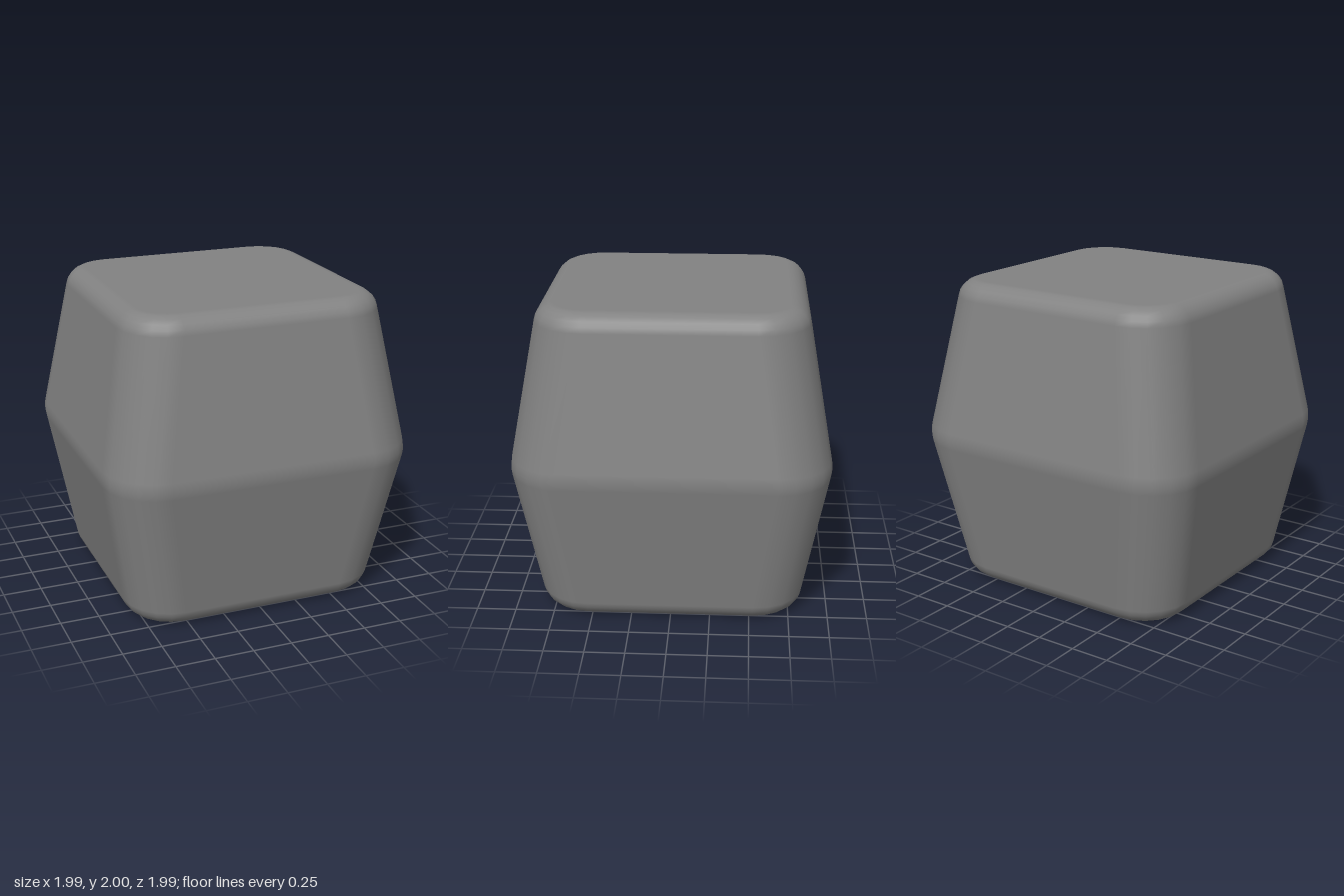
import * as THREE from 'three';
import { toCreasedNormals } from 'three/addons/utils/BufferGeometryUtils.js';

const TILT = 0.175;         // slope of the side walls
const CORNER_STEPS = 5;
const HOLE_RADIUS = 0.42;
const HOLE_DEPTH = 1.0;

// Rounded square outline: points with the outward angle at each one
function outline(half, straight) {
  const r = half - straight, pts = [];
  for (let q = 0; q < 4; q++) {
    const cx = (q === 0 || q === 3 ? 1 : -1) * straight;
    const cz = (q < 2 ? 1 : -1) * straight;
    for (let k = 0; k <= CORNER_STEPS; k++) {
      const a = (q + k / CORNER_STEPS) * Math.PI / 2;
      pts.push({ x: cx + r * Math.cos(a), z: cz + r * Math.sin(a), a });
    }
  }
  return pts;
}

// Vertical profile, bottom to top: soft bevels at the ends and a soft ridge at mid height
function profile() {
  const arc = (cx, cy, r, from, to, n) => Array.from({ length: n + 1 }, (_, i) => {
    const tilt = from + (to - from) * i / n;
    return { half: cx + r * Math.cos(tilt), y: cy + r * Math.sin(tilt), tilt };
  });
  const rows = [
    ...arc(0.715, 0.13, 0.13, -Math.PI / 2, -TILT, 5),
    ...arc(0.696, 1, 0.3, -TILT, TILT, 4),
    ...arc(0.715, 1.87, 0.13, TILT, Math.PI / 2, 5),
  ];
  for (const p of rows) p.straight = 0.665 - 0.14 * Math.min(1, Math.abs(p.y - 1) / 0.89);
  return rows;
}

// Side walls lofted through the profile, with smooth normals
function wallGeometry(rows) {
  const pos = [], nor = [], idx = [], n = 4 * (CORNER_STEPS + 1);
  rows.forEach((p, i) => {
    outline(p.half, p.straight).forEach((o, j) => {
      pos.push(o.x, p.y, o.z);
      nor.push(Math.cos(o.a) * Math.cos(p.tilt), Math.sin(p.tilt), Math.sin(o.a) * Math.cos(p.tilt));
      if (i === rows.length - 1) return;
      const a = i * n + j, b = i * n + (j + 1) % n;
      idx.push(a, a + n, b, b, a + n, b + n);
    });
  });
  const g = new THREE.BufferGeometry();
  g.setAttribute('position', new THREE.Float32BufferAttribute(pos, 3));
  g.setAttribute('normal', new THREE.Float32BufferAttribute(nor, 3));
  g.setIndex(idx);
  return g;
}

function capShape(row) {
  return new THREE.Shape(outline(row.half, row.straight).map(o => new THREE.Vector2(o.x, o.z)));
}

export function createModel() {
  const group = new THREE.Group();
  group.name = 'knob';
  const material = new THREE.MeshStandardMaterial({ color: 0x828282 });
  const add = (name, geometry) => {
    const mesh = new THREE.Mesh(geometry, material);
    mesh.name = name;
    group.add(mesh);
  };
  const rows = profile();

  add('sideWalls', wallGeometry(rows));

  // Flat top
  const top = rows[rows.length - 1];
  add('topFace', new THREE.ShapeGeometry(capShape(top)).rotateX(-Math.PI / 2).translate(0, top.y, 0));

  // Flat base with a round opening
  const base = capShape(rows[0]);
  base.holes.push(new THREE.Path().absarc(0, 0, HOLE_RADIUS, 0, Math.PI * 2, true));
  add('baseFace', new THREE.ShapeGeometry(base, 16).rotateX(Math.PI / 2));

  // Blind socket, facing inwards
  const socket = new THREE.LatheGeometry([
    new THREE.Vector2(0, HOLE_DEPTH),
    new THREE.Vector2(HOLE_RADIUS, HOLE_DEPTH),
    new THREE.Vector2(HOLE_RADIUS, 0),
  ], 32);
  add('socket', toCreasedNormals(socket, 0.1));

  return group;
}
